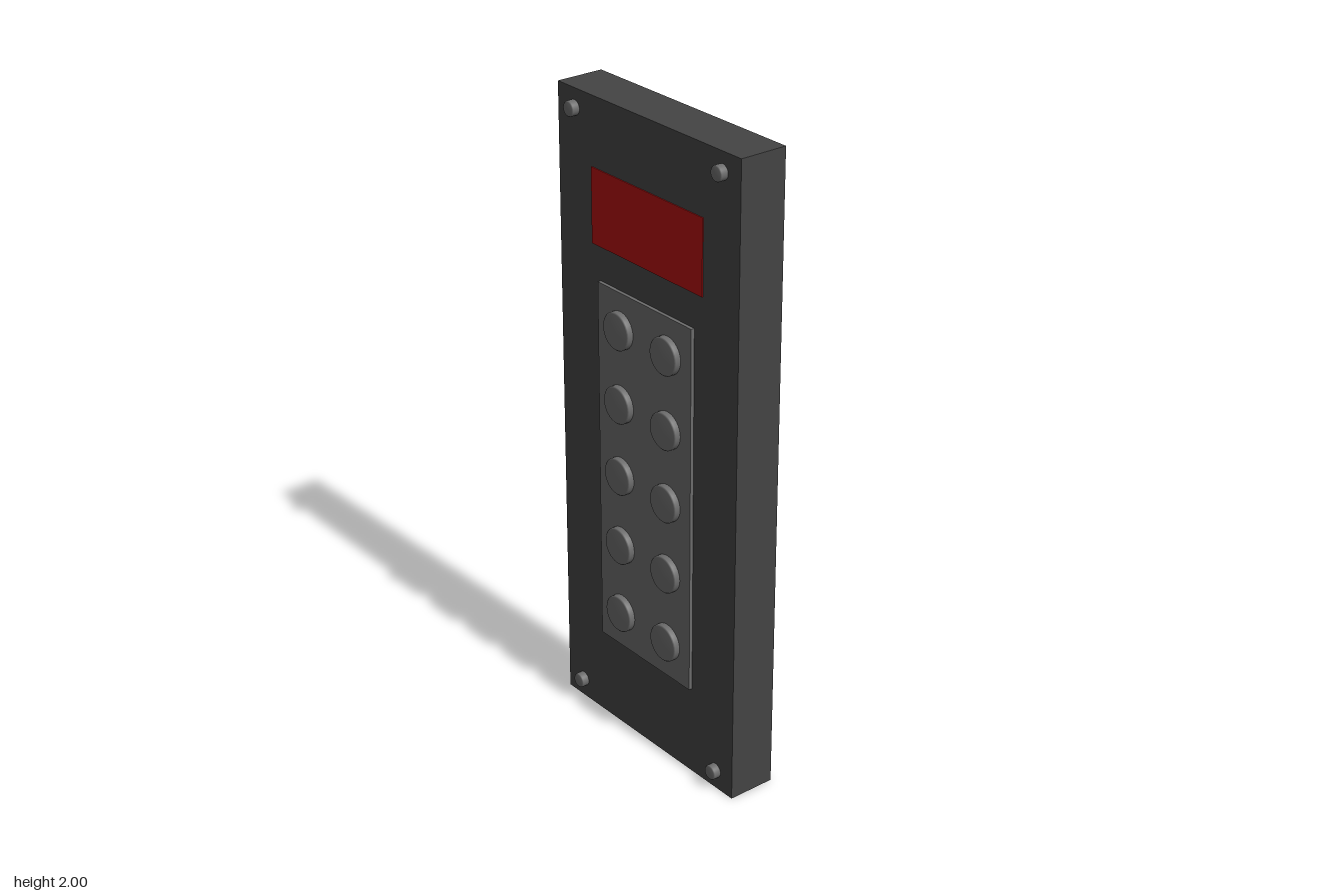
import * as THREE from 'three';

const mat = (name, color) => {
  const m = new THREE.MeshStandardMaterial({ color });
  m.name = name;
  return m;
};

export function createModel() {
  const group = new THREE.Group();
  const dark = mat('dark grey casing', 0x444444);
  const grey = mat('mid grey', 0x6c6c6c);
  const red = mat('red display', 0xb01010);
  const FACE = -0.062; // x of the casing's working side

  const add = (name, geometry, material, x, y, z) => {
    const mesh = new THREE.Mesh(geometry, material);
    mesh.name = name;
    mesh.position.set(x, y, z);
    group.add(mesh);
    return mesh;
  };

  // Plate lying on the working side, standing out by t
  const plate = (name, material, t, y0, y1, width) =>
    add(name, new THREE.BoxGeometry(t, y1 - y0, width), material, FACE - t / 2, (y0 + y1) / 2, 0);

  // Round stud with a chamfered rim, pointing along -x
  const stud = (radius, height, chamfer) => {
    const p = [[radius, 0], [radius, height - chamfer], [radius - chamfer, height], [0, height]];
    const parts = new THREE.LatheGeometry(p.map(([r, h]) => new THREE.Vector2(r, h)), 32);
    return parts.rotateZ(Math.PI / 2);
  };

  // Casing
  add('casing', new THREE.BoxGeometry(0.152, 2, 0.79), dark, 0.014, 1, 0);

  // Display and keypad plate
  plate('display', red, 0.003, 1.56, 1.79, 0.488);
  plate('keypadPlate', grey, 0.011, 0.29, 1.455, 0.418);

  // Two columns of five buttons
  const button = stud(0.058, 0.02, 0.004);
  for (let row = 0; row < 5; row++)
    for (const side of [-1, 1])
      add('button', button, grey, FACE - 0.011, 0.408 + row * 0.233, side * 0.106);

  // Corner screws
  const screw = stud(0.023, 0.024, 0.003);
  for (const y of [0.061, 1.942])
    for (const side of [-1, 1])
      add('screw', screw, grey, FACE, y, side * 0.32);

  return group;
}
